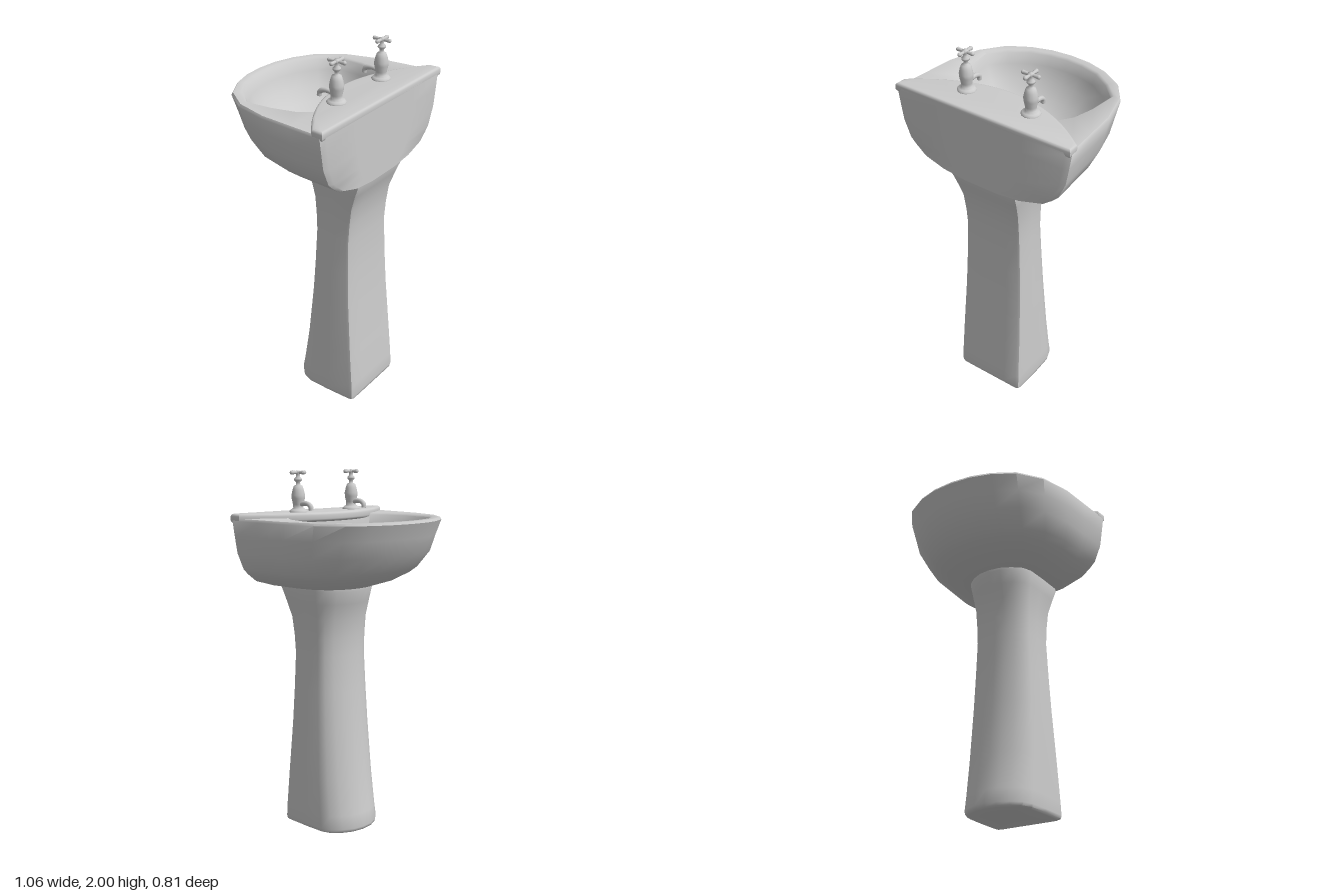
import * as THREE from 'three';
import { toCreasedNormals } from 'three/addons/utils/BufferGeometryUtils.js';

const V = (x, y, z) => new THREE.Vector3(x, y, z);
const grey = new THREE.MeshStandardMaterial({ color: 0xcccccc });
const greyDouble = new THREE.MeshStandardMaterial({ color: 0xcccccc, side: THREE.DoubleSide });

function add(parent, name, geometry, material = grey) {
  const mesh = new THREE.Mesh(geometry, material);
  mesh.name = name;
  parent.add(mesh);
  return mesh;
}

// Complete a half outline (+x side, back centre to front centre) by mirroring it
const mirrorOutline = half => [...half, ...half.slice(1, -1).reverse().map(([x, z]) => [-x, z])];

// Skin a stack of closed rings with equal point counts
function loft(rings, crease = 0.85) {
  const n = rings[0].length, pos = [], index = [];
  rings.forEach(r => r.forEach(p => pos.push(p.x, p.y, p.z)));
  for (let k = 0; k < rings.length - 1; k++) {
    for (let i = 0; i < n; i++) {
      const a = k * n + i, b = k * n + (i + 1) % n;
      index.push(a, b, b + n, a, b + n, a + n);
    }
  }
  const g = new THREE.BufferGeometry();
  g.setAttribute('position', new THREE.Float32BufferAttribute(pos, 3));
  g.setIndex(index);
  return toCreasedNormals(g.toNonIndexed(), crease);
}

const BACK = 0.405, DRAIN_Z = 0.04, DRAIN_R = 0.045;

function makeBasin() {
  const outer = mirrorOutline([[0, BACK], [0.25, BACK], [0.5, BACK], [0.53, 0.39], [0.515, 0.2], [0.5, 0.02],
    [0.45, -0.16], [0.355, -0.29], [0.235, -0.36], [0.12, -0.395], [0, -0.405]]);
  const inner = mirrorOutline([[0, 0.145], [0.15, 0.165], [0.24, 0.185], [0.3, 0.2], [0.355, 0.12], [0.385, 0],
    [0.4, -0.16], [0.315, -0.245], [0.21, -0.315], [0.1, -0.345], [0, -0.355]]);

  // Outer shell: height, width scale, foremost z; the back stays flat on the wall
  const shell = [[1.36, 0, 0.3], [1.36, 0.2, 0.15], [1.375, 0.48, -0.02], [1.41, 0.71, -0.13], [1.45, 0.81, -0.21],
    [1.48, 0.87, -0.25], [1.57, 0.945, -0.33], [1.66, 0.975, -0.365], [1.742, 1, -0.402], [1.755, 0.985, -0.395]]
    .map(([y, sx, front]) => outer.map(([x, z]) =>
      V(x * sx, y, BACK - (BACK - z) * (BACK - front) / (2 * BACK))));

  // Bowl: height and how far the ring keeps the rim outline before becoming the round drain
  const bowl = [[1.755, 1.02], [1.745, 0.98], [1.69, 0.93], [1.62, 0.83], [1.55, 0.66], [1.5, 0.45], [1.475, 0.22], [1.465, 0]]
    .map(([y, k]) => inner.map(([x, z]) => {
      const a = Math.atan2(x, z - DRAIN_Z);
      return V(THREE.MathUtils.lerp(DRAIN_R * Math.sin(a), x, k), y,
        DRAIN_Z + THREE.MathUtils.lerp(DRAIN_R * Math.cos(a), z - DRAIN_Z, k));
    }));
  return loft([...shell, ...bowl]);
}

// Raised tap shelf with a curved front edge
function makeDeck() {
  const s = new THREE.Shape();
  s.moveTo(-0.53, -BACK);
  s.lineTo(0.53, -BACK);
  s.lineTo(0.525, -0.34);
  s.quadraticCurveTo(0, 0.08, -0.525, -0.34);
  s.closePath();
  const g = new THREE.ExtrudeGeometry(s, { depth: 0.02, curveSegments: 20, bevelThickness: 0.015,
    bevelSize: 0.015, bevelOffset: -0.015, bevelSegments: 3 });
  g.rotateX(-Math.PI / 2).translate(0, 1.745, 0);
  return toCreasedNormals(g, 0.7);
}

// Waisted column: flat back and sides, bowed front
function makePedestal() {
  const section = mirrorOutline([[0, 1], [0.5, 1], [0.9, 1], [0.98, 0.985], [1, 0.94], [1, 0.6], [0.97, 0.32],
    [0.86, 0.19], [0.62, 0.09], [0.32, 0.02], [0, 0]]);
  // height, half width, back z, front z
  const levels = [[0, 0, 0.17, 0.17], [0, 0.19, 0.365, -0.04], [0.008, 0.203, 0.377, -0.055], [0.025, 0.206, 0.38, -0.06],
    [0.1, 0.204, 0.376, -0.045], [0.3, 0.199, 0.358, -0.012], [0.6, 0.188, 0.333, 0.02], [0.8, 0.181, 0.322, 0.035],
    [1, 0.174, 0.316, 0.045], [1.1, 0.176, 0.323, 0.04], [1.2, 0.181, 0.336, 0.03], [1.29, 0.195, 0.367, 0.005],
    [1.36, 0.205, 0.395, -0.018], [1.38, 0.203, 0.395, -0.018], [1.38, 0, 0.17, 0.17]];
  return loft(levels.map(([y, w, back, front]) =>
    section.map(([x, t]) => V(x * w, y, front + (back - front) * t))));
}

// Round waste plate with a ring of holes over a short pipe
function makeDrain() {
  const group = new THREE.Group();
  group.name = 'drain';
  const s = new THREE.Shape().absarc(0, 0, 0.046, 0, Math.PI * 2);
  for (let i = 0; i < 7; i++) {
    const a = i / 7 * Math.PI * 2;
    s.holes.push(new THREE.Path().absarc(0.022 * Math.cos(a), 0.022 * Math.sin(a), 0.0075, 0, Math.PI * 2, true));
  }
  const plate = new THREE.ExtrudeGeometry(s, { depth: 0.004, bevelEnabled: false, curveSegments: 10 });
  add(group, 'drainGrille', plate.rotateX(-Math.PI / 2));
  const rim = add(group, 'drainRim', new THREE.TorusGeometry(0.046, 0.007, 8, 16).rotateX(Math.PI / 2));
  rim.position.y = 0.003;
  const pipe = add(group, 'drainPipe', new THREE.CylinderGeometry(0.04, 0.04, 0.08, 16, 1, true), greyDouble);
  pipe.position.y = -0.04;
  group.position.set(0.005, 1.467, DRAIN_Z);
  return group;
}

function makeTap(x) {
  const tap = new THREE.Group();
  tap.name = x > 0 ? 'leftTap' : 'rightTap';
  const profile = [[0.05, 0], [0.05, 0.006], [0.042, 0.014], [0.028, 0.022], [0.029, 0.04], [0.036, 0.072], [0.037, 0.09],
    [0.031, 0.118], [0.024, 0.138], [0.012, 0.144], [0.011, 0.158], [0.021, 0.168], [0.021, 0.176], [0.011, 0.186],
    [0.011, 0.2], [0.015, 0.204], [0.015, 0.217], [0, 0.22]];
  add(tap, 'tapBody', new THREE.LatheGeometry(profile.map(p => new THREE.Vector2(...p)), 12));

  // Spout reaching over the bowl and turning down
  const path = new THREE.CatmullRomCurve3([V(0, 0.04, -0.01), V(0, 0.048, -0.05), V(0, 0.044, -0.083),
    V(0, 0.032, -0.1), V(0, 0.012, -0.103)]);
  add(tap, 'spout', new THREE.TubeGeometry(path, 12, 0.013, 8), greyDouble);
  const mouth = add(tap, 'spoutMouth', new THREE.CircleGeometry(0.013, 8).rotateX(Math.PI / 2));
  mouth.position.set(0, 0.013, -0.103);

  // Cross handle
  for (let i = 0; i < 4; i++) {
    const arm = new THREE.Group();
    arm.name = 'handleArm';
    const bar = add(arm, 'handleBar', new THREE.CylinderGeometry(0.011, 0.007, 0.04, 8).rotateZ(-Math.PI / 2));
    bar.position.x = 0.026;
    const tip = add(arm, 'handleTip', new THREE.SphereGeometry(0.011, 8, 6));
    tip.position.x = 0.044;
    arm.position.y = 0.209;
    arm.rotation.y = i * Math.PI / 2;
    tap.add(arm);
  }
  tap.position.set(x, 1.78, 0.247);
  return tap;
}

export function createModel() {
  const model = new THREE.Group();
  model.name = 'pedestalBasin';
  add(model, 'basin', makeBasin());
  add(model, 'tapDeck', makeDeck());
  add(model, 'pedestal', makePedestal());
  model.add(makeDrain(), makeTap(0.196), makeTap(-0.196));
  return model;
}
